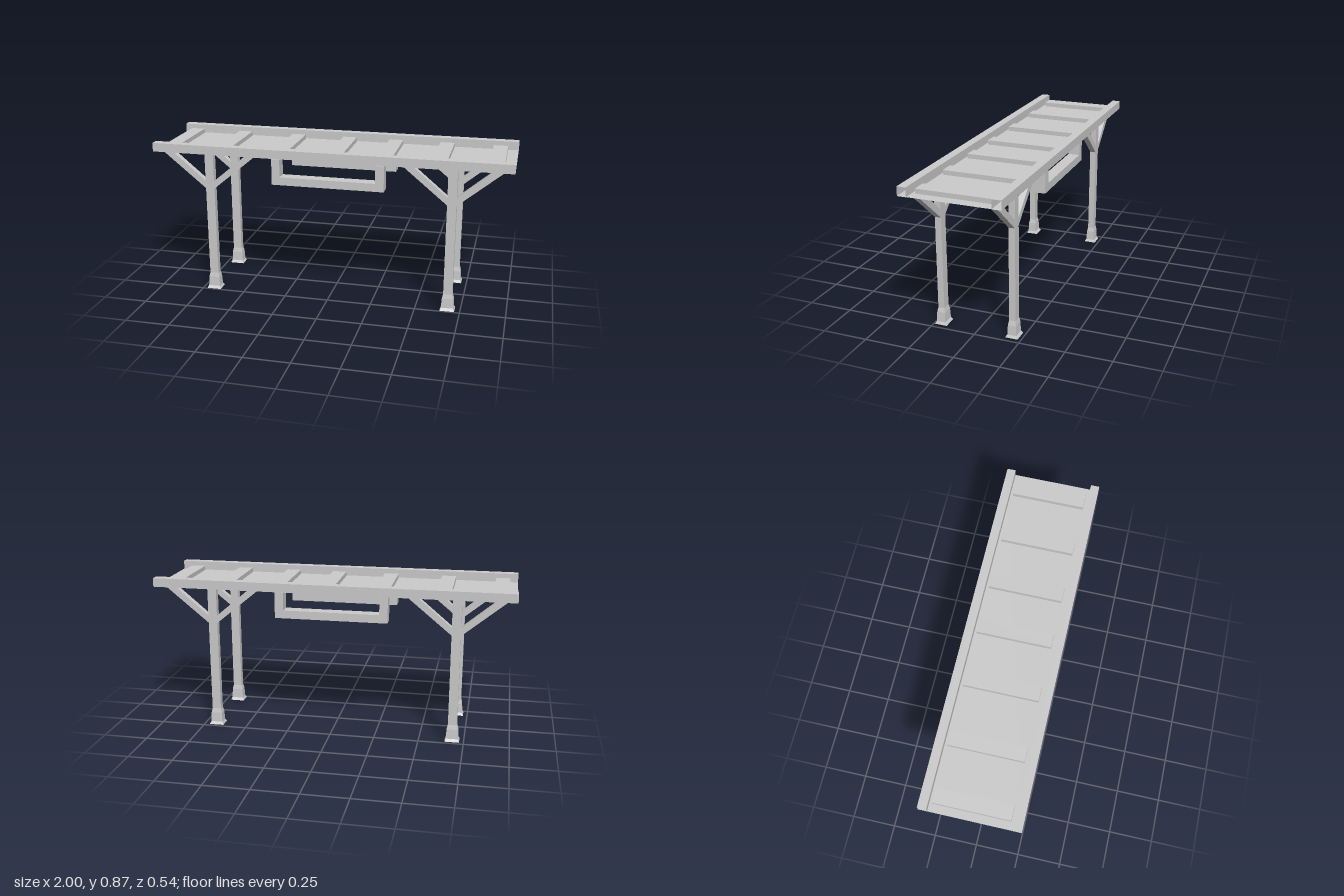
import * as THREE from 'three';

const material = new THREE.MeshStandardMaterial({ color: 0xcccccc, flatShading: true, side: THREE.DoubleSide });

function add(parent, name, geometry, x = 0, y = 0, z = 0) {
  const mesh = new THREE.Mesh(geometry, material);
  mesh.name = name;
  mesh.position.set(x, y, z);
  parent.add(mesh);
  return mesh;
}

// Flat outline in x/y, given thickness along z and centred on z = 0
function plate(points, depth) {
  const shape = new THREE.Shape(points.map(([x, y]) => new THREE.Vector2(x, y)));
  return new THREE.ExtrudeGeometry(shape, { depth, bevelEnabled: false }).translate(0, 0, -depth / 2);
}

// Open rectangular tube from rings of [y, half width, half depth]
function rectTube(rings) {
  const corners = [[-1, 1], [1, 1], [1, -1], [-1, -1]];
  const positions = [], index = [];
  rings.forEach(([y, hx, hz], r) => {
    corners.forEach(([cx, cz], c) => {
      positions.push(cx * hx, y, cz * hz);
      if (r === rings.length - 1) return;
      const a = r * 4 + c, b = r * 4 + (c + 1) % 4;
      index.push(a, b, b + 4, a, b + 4, a + 4);
    });
  });
  const geometry = new THREE.BufferGeometry();
  geometry.setAttribute('position', new THREE.Float32BufferAttribute(positions, 3));
  geometry.setIndex(index);
  geometry.computeVertexNormals();
  return geometry;
}

export function createModel() {
  const model = new THREE.Group();
  model.name = 'shelter';
  const rows = [0.209, -0.197];

  // Roof: thin sheet between two hollow rails with open ends
  const roof = new THREE.Group();
  roof.name = 'roof';
  model.add(roof);
  const sheetY = 0.819;
  add(roof, 'roofSheet', new THREE.PlaneGeometry(2, 0.536).rotateX(-Math.PI / 2), 0, sheetY, 0);
  const railGeometry = rectTube([[-1, 0.0245, 0.024], [1, 0.0245, 0.024]]).rotateZ(-Math.PI / 2);
  for (const side of [1, -1]) add(roof, 'roofRail', railGeometry, 0, 0.8425, side * 0.244);

  // Slats across the sheet
  const slatGeometry = new THREE.BoxGeometry(0.081, 0.025, 0.408);
  for (const x of [-0.916, -0.61, -0.278, 0.03, 0.305, 0.601, 0.901]) {
    add(roof, 'slat', slatGeometry, x, 0.8325, -0.001);
  }

  // Posts with flared hollow feet and a pair of diagonal braces
  const postGeometry = new THREE.BoxGeometry(0.05, 0.73, 0.035);
  const footGeometry = rectTube([
    [0, 0.041, 0.035], [0.015, 0.034, 0.025], [0.07, 0.031, 0.0225], [0.095, 0.025, 0.0175],
  ]);
  const braceOutline = [[0.022, 0.608], [0.265, 0.808], [0.208, 0.808], [0.022, 0.652]];
  const braces = [1, -1].map((s) => plate(braceOutline.map(([x, y]) => [s * x, y]), 0.0345));
  for (const x of [-0.685, 0.679]) {
    for (const z of rows) {
      const support = new THREE.Group();
      support.name = 'support';
      support.position.set(x, 0, z);
      model.add(support);
      add(support, 'post', postGeometry, 0, 0.443, 0);
      add(support, 'foot', footGeometry);
      for (const brace of braces) add(support, 'brace', brace);
    }
  }

  // U-shaped hanging frames
  const frameGeometry = plate([
    [-0.315, 0.663], [0.313, 0.663], [0.313, 0.808], [0.265, 0.808],
    [0.265, 0.708], [-0.269, 0.708], [-0.269, 0.808], [-0.315, 0.808],
  ], 0.066);
  for (const z of rows) add(model, 'hangingFrame', frameGeometry, 0, 0, z);

  return model;
}
